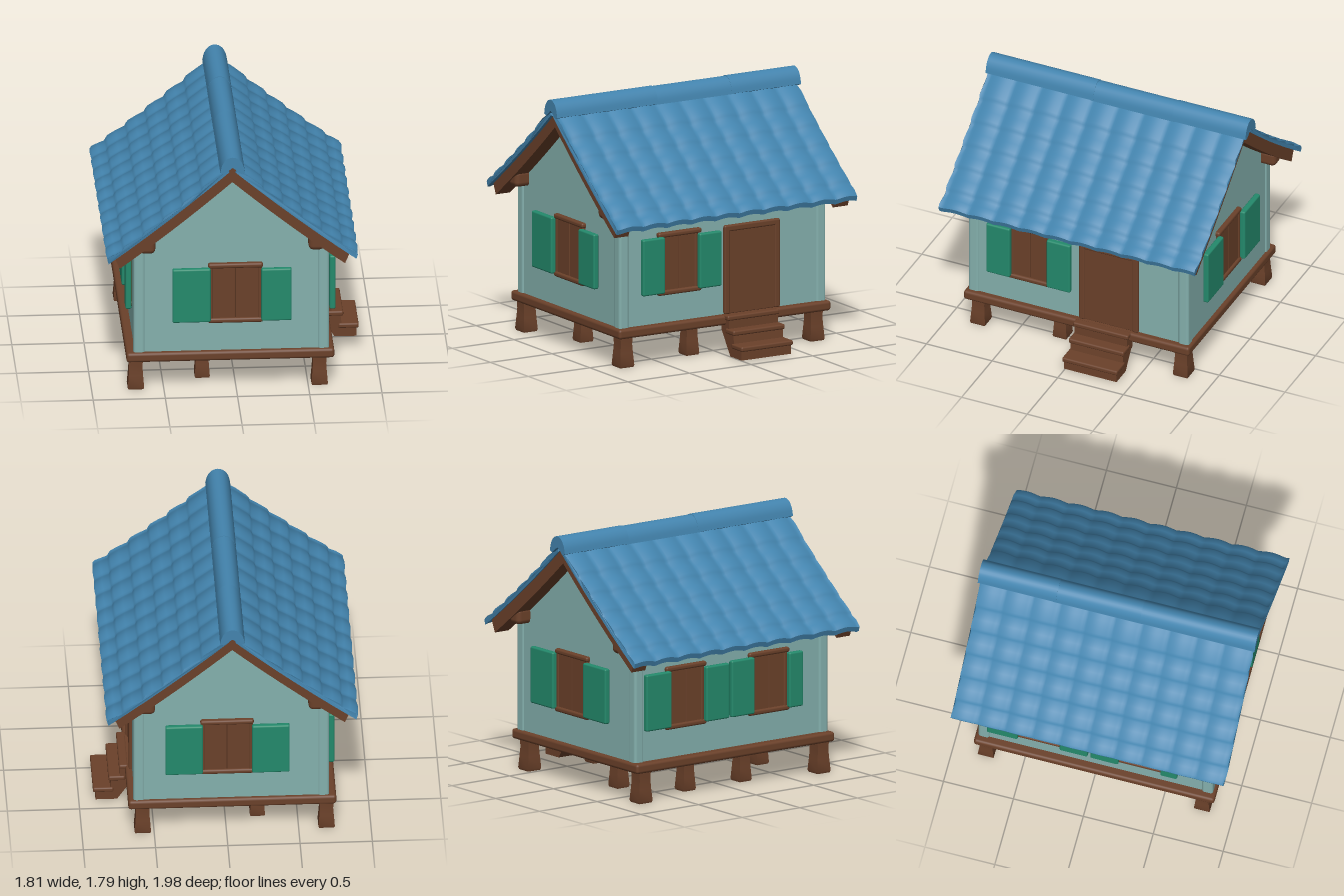
import * as THREE from 'three';
import { toCreasedNormals } from 'three/addons/utils/BufferGeometryUtils.js';
import { RoundedBoxGeometry } from 'three/addons/geometries/RoundedBoxGeometry.js';

const mat = (name, color) => {
  const m = new THREE.MeshStandardMaterial({ color });
  m.name = name;
  return m;
};

export function createModel() {
  const plaster = mat('pale teal plaster', 0x84b0ad);
  const wood = mat('brown wood', 0x6b412a);
  const tile = mat('blue roof tile', 0x4384ae);
  const paint = mat('green shutter paint', 0x248a6c);

  const root = new THREE.Group();
  root.name = 'stiltHouse';
  const house = new THREE.Group();
  house.name = 'house';
  house.position.x = -0.033;
  root.add(house);

  const add = (parent, name, geo, material, x = 0, y = 0, z = 0) => {
    const m = new THREE.Mesh(geo, material);
    m.name = name;
    m.position.set(x, y, z);
    parent.add(m);
    return m;
  };
  const box = (parent, name, w, h, d, material, x, y, z, r = 0.012) =>
    add(parent, name, new RoundedBoxGeometry(w, h, d, 2, Math.min(r, w / 2.2, h / 2.2, d / 2.2)), material, x, y, z);
  const extrude = (pts, z0, z1, steps = 1) => {
    const g = new THREE.ExtrudeGeometry(new THREE.Shape(pts.map(p => new THREE.Vector2(...p))),
      { depth: z1 - z0, steps, bevelEnabled: false });
    return g.translate(0, 0, z0);
  };

  // Roof line: height at distance d from the ridge, flaring slightly to the eaves
  const roofY = d => 1.72 - 0.88 * d + 0.09 * d * d;
  // Strip following both slopes between two offsets from the roof line
  const roofBand = (top, bottom, dTop, dBottom) => {
    const pts = [];
    for (let i = -10; i <= 10; i++) pts.push([i / 10 * dBottom, roofY(Math.abs(i / 10 * dBottom)) + bottom]);
    for (let i = 10; i >= -10; i--) pts.push([i / 10 * dTop, roofY(Math.abs(i / 10 * dTop)) + top]);
    return pts;
  };

  // Walls with gables
  const wallPts = [[-0.667, 0.27], [0.667, 0.27]];
  for (let i = 8; i >= -8; i--) {
    const d = i / 8 * 0.667;
    wallPts.push([d, roofY(Math.abs(d)) - 0.04]);
  }
  add(house, 'walls', extrude(wallPts, -0.822, 0.838), plaster);
  for (const sx of [-1, 1]) for (const z of [-0.79, 0.808])
    box(house, 'cornerPost', 0.08, 0.81, 0.08, plaster, sx * 0.638, 0.675, z, 0.02);

  // Deck and flared stilts
  box(house, 'deck', 1.44, 0.07, 1.72, wood, -0.007, 0.255, 0.01, 0.02);
  const stilt = k => toCreasedNormals(new THREE.LatheGeometry(
    [[0, 0], [0.052, 0], [0.057, 0.015], [0.05, 0.1], [0.046, 0.16], [0.049, 0.235]]
      .map(([r, y]) => new THREE.Vector2(r * Math.SQRT2 * k, y)), 4, Math.PI / 4), 0.6);
  for (const x of [-0.66, 0.612]) for (const z of [-0.765, 0.78])
    add(house, 'cornerStilt', stilt(1), wood, x, 0.005, z);
  for (const [x, z] of [[0.53, 0.195], [0.53, -0.26], [-0.54, 0.195], [-0.54, -0.29], [-0.19, -0.6], [-0.19, 0.61]])
    add(house, 'innerStilt', stilt(0.92), wood, x, 0.005, z);

  // Roof: soffit, barge boards, purlins
  add(house, 'soffit', extrude(roofBand(-0.004, -0.045, 0.81, 0.8), -0.93, 0.94), wood);
  for (const [a, b] of [[-0.94, -0.82], [0.84, 0.955]])
    add(house, 'bargeBoard', extrude(roofBand(0.003, -0.12, 0.82, 0.78), a, b), wood);
  for (const s of [-1, 1])
    box(house, 'purlin', 0.11, 0.12, 1.87, wood, s * 0.585, 1.12, 0.007, 0.035);

  // Roof tiles: stepped courses, rippled into rounded columns
  const pitch = 0.195;
  for (const s of [-1, 1]) {
    const courses = [0.02, 0.21, 0.345, 0.48, 0.615, 0.755, 0.865];
    const pts = [];
    for (let i = 0; i < courses.length - 1; i++) {
      const [a, b] = [courses[i], courses[i + 1]], m = (a + b) / 2;
      pts.push([s * (a + 0.01), roofY(a + 0.01) + 0.004], [s * m, roofY(m) + 0.018],
        [s * (b - 0.014), roofY(b - 0.014) + 0.024], [s * b, roofY(b) + 0.016]);
    }
    for (let i = 6; i >= 0; i--) {
      const d = 0.02 + i / 6 * 0.835;
      pts.push([s * d, roofY(d) - 0.026]);
    }
    const g = extrude(pts, -0.97, 0.98, 120);
    const p = g.attributes.position;
    for (let i = 0; i < p.count; i++) {
      const x = p.getX(i), z = p.getZ(i);
      const bump = 0.02 * Math.abs(Math.sin(Math.PI * (z + 0.015) / pitch));
      p.setXYZ(i, x + s * bump * 0.4, p.getY(i) + bump * 0.8,
        z + (Math.abs(z) > 0.96 ? 0.006 * Math.sin(x * 46) : 0));
    }
    add(house, s > 0 ? 'leftRoofTiles' : 'rightRoofTiles', toCreasedNormals(g, 0.9), tile);
  }

  // Ridge caps in three overlapping lengths
  [[-0.99, -0.43, 0.004], [-0.45, 0.19, 0], [0.17, 0.99, 0.004]].forEach(([a, b, lift]) => {
    const arch = new THREE.CatmullRomCurve3([[0.086, 1.682], [0.072, 1.738], [0.042, 1.78], [0, 1.795],
      [-0.042, 1.78], [-0.072, 1.738], [-0.086, 1.682]].map(([x, y]) => new THREE.Vector3(x, y + lift, 0)));
    const pts = arch.getPoints(18).map(v => [v.x, v.y]);
    pts.push([-0.06, 1.675], [0, 1.722], [0.06, 1.675]);
    add(house, 'ridgeCap', toCreasedNormals(extrude(pts, a, b), 0.7), tile);
  });

  // Window with shutters, facing +z with its back on the wall
  const makeWindow = (name, w, overhang, leftW, rightW) => {
    const g = new THREE.Group();
    g.name = name;
    for (const s of [-1, 1]) {
      box(g, 'casement', w / 2 - 0.008, 0.4, 0.02, wood, s * (w / 4 - 0.003), 0, 0.002, 0.006);
      box(g, 'jamb', 0.03, 0.41, 0.03, wood, s * (w / 2 - 0.015), 0, 0.004);
      box(g, 'rail', w + overhang, 0.036, 0.044, wood, 0, s * 0.205, 0.006, 0.014);
    }
    box(g, 'shutter', leftW, 0.4, 0.042, paint, -w / 2 - leftW / 2 + 0.012, -0.003, 0.033, 0.012);
    box(g, 'shutter', rightW, 0.39, 0.042, paint, w / 2 + rightW / 2 - 0.008, -0.008, 0.033, 0.012);
    house.add(g);
    return g;
  };
  makeWindow('frontWindow', 0.37, 0.01, 0.265, 0.21).position.set(0.028, 0.725, 0.842);
  const back = makeWindow('backWindow', 0.36, 0.01, 0.26, 0.26);
  back.position.set(0.03, 0.725, -0.826);
  back.rotation.y = Math.PI;
  const left = makeWindow('leftWindow', 0.3, 0.05, 0.18, 0.18);
  left.position.set(0.678, 0.712, 0.37);
  left.rotation.y = Math.PI / 2;
  for (const [z, leftW, rightW] of [[-0.39, 0.22, 0.2], [0.33, 0.2, 0.12]]) {
    const right = makeWindow('rightWindow', 0.32, 0.03, leftW, rightW);
    right.position.set(-0.664, 0.712, z);
    right.rotation.y = -Math.PI / 2;
  }

  // Door on the left wall
  const door = new THREE.Group();
  door.name = 'door';
  door.position.set(0.667, 0.29, -0.225);
  door.rotation.y = Math.PI / 2;
  house.add(door);
  box(door, 'doorPanel', 0.38, 0.6, 0.02, wood, 0, 0.3, 0, 0.006);
  for (const s of [-1, 1]) box(door, 'doorJamb', 0.045, 0.625, 0.04, wood, s * 0.203, 0.312, 0.003);
  box(door, 'doorLintel', 0.45, 0.045, 0.04, wood, 0, 0.607, 0.003);

  // Stairs: solid stringer body with overhanging treads
  const body = [[0.62, 0.27], [0.715, 0.27], [0.715, 0.18], [0.775, 0.18], [0.785, 0.09],
    [0.885, 0.09], [0.885, 0.01], [0.735, 0.01], [0.62, 0.18]];
  add(root, 'stairBody', extrude(body, -0.395, 0.005), wood);
  [[0.66, 0.722, 0.275], [0.68, 0.795, 0.183], [0.76, 0.902, 0.09]].forEach(([a, b, y]) =>
    box(root, 'tread', b - a, 0.036, 0.42, wood, (a + b) / 2, y, -0.195));

  return root;
}
